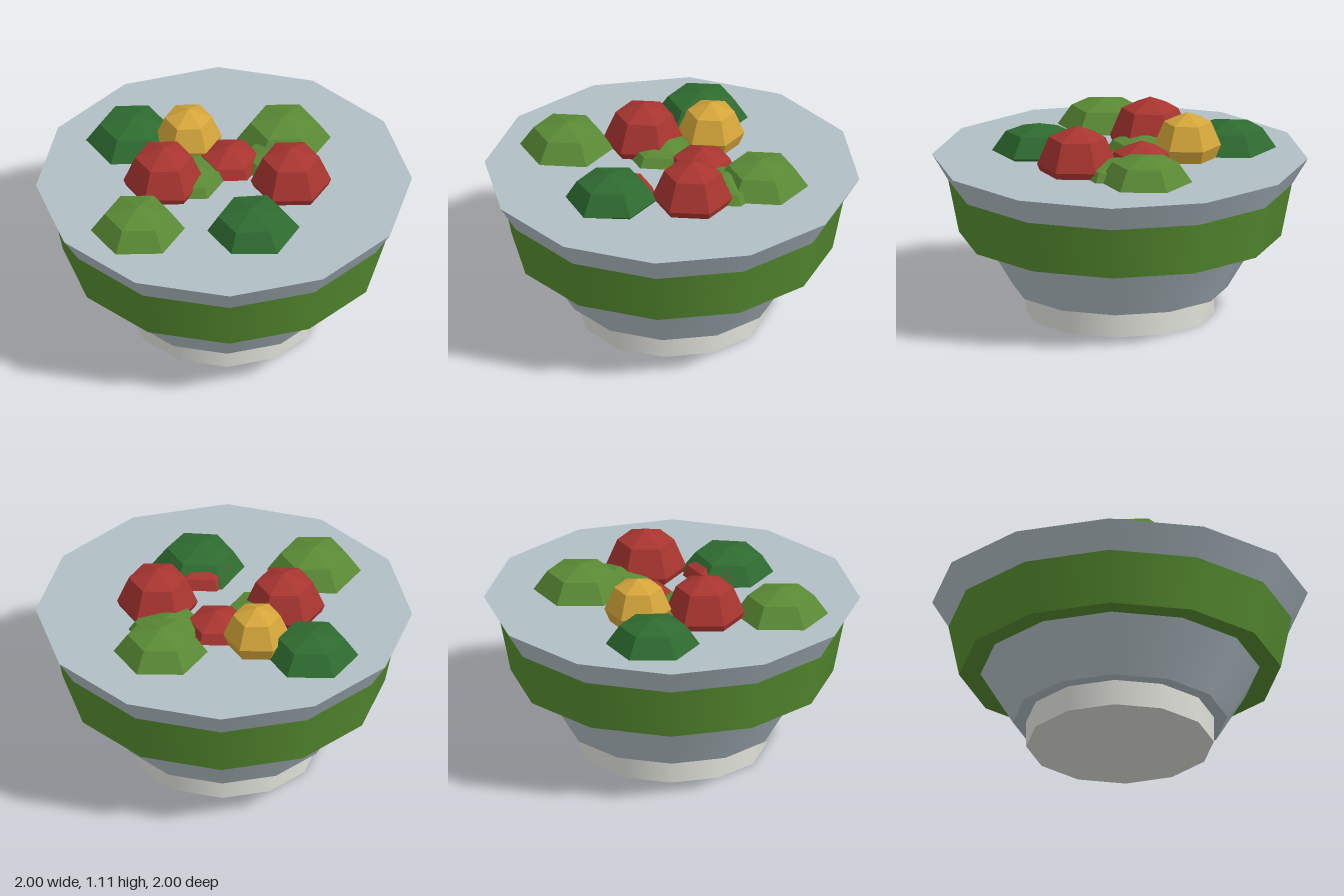
import * as THREE from 'three';

const mat = (color, flatShading = false) => new THREE.MeshStandardMaterial({ color, flatShading });

export function createModel() {
  const model = new THREE.Group();
  model.name = 'saladBowl';

  // Twelve-sided tapered drum between two heights
  const drum = (name, rTop, rBottom, y0, y1, material) => {
    const mesh = new THREE.Mesh(new THREE.CylinderGeometry(rTop, rBottom, y1 - y0, 12), material);
    mesh.position.y = (y0 + y1) / 2;
    mesh.name = name;
    model.add(mesh);
  };
  drum('foot', 0.5, 0.5, 0, 0.145, mat(0xe0e0da));
  drum('bowl', 1, 0.571, 0.143, 0.857, mat(0xb0bec5));
  drum('band', 0.914, 0.857, 0.43, 0.715, mat(0x558b2f));

  // Faceted food pieces: six-sided balls, some flattened, some sunk in the filling
  const ball = new THREE.SphereGeometry(1, 6, 4).rotateY(Math.PI / 2);
  const kinds = {
    lettuce: { material: mat(0x5a8a35, true), r: 0.25, h: 0.15 },
    darkLeaf: { material: mat(0x2e6b30, true), r: 0.25, h: 0.15 },
    tomato: { material: mat(0xa83530, true), r: 0.214, h: 0.214 },
    corn: { material: mat(0xd4a53a, true), r: 0.178, h: 0.178 },
  };
  const pieces = [
    // kind, x, y, z, tilt
    ['lettuce', -0.607, 0.857, 0.11],
    ['lettuce', 0.471, 0.857, -0.157],
    ['lettuce', -0.15, 0.80, -0.13],
    ['lettuce', 0.34, 0.80, 0],
    ['darkLeaf', -0.215, 0.857, -0.571],
    ['darkLeaf', -0.09, 0.857, 0.435, 0.06],
    ['tomato', -0.286, 0.893, -0.147],
    ['tomato', 0.286, 0.893, 0.214],
    ['tomato', 0.11, 0.765, -0.12],
    ['tomato', -0.06, 0.765, 0.36],
    ['corn', 0, 0.929, -0.36],
  ];
  for (const [kind, x, y, z, tilt = 0] of pieces) {
    const { material, r, h } = kinds[kind];
    const mesh = new THREE.Mesh(ball, material);
    mesh.name = kind;
    mesh.scale.set(r, h, r);
    mesh.position.set(x, y, z);
    mesh.rotation.z = tilt;
    model.add(mesh);
  }
  return model;
}
